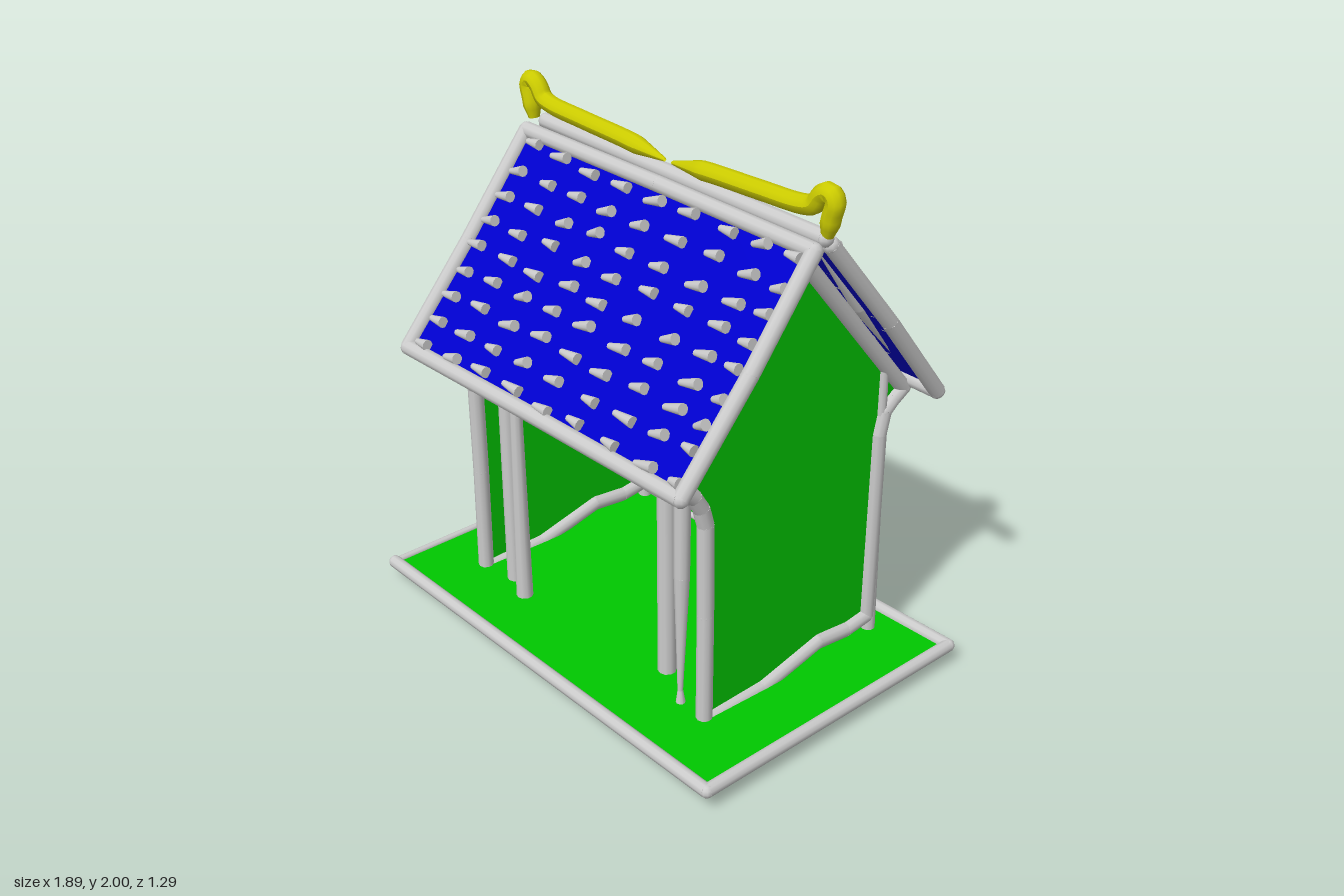
import * as THREE from 'three';
import { mergeGeometries } from 'three/addons/utils/BufferGeometryUtils.js';

const mat = (color) => new THREE.MeshStandardMaterial({ color, side: THREE.DoubleSide });
const GREY = mat(0xcccccc), GREEN = mat(0x00c800), BLUE = mat(0x0000cc), YELLOW = mat(0xcccc00);
const V = (x, y, z) => new THREE.Vector3(x, y, z);
const UP = V(0, 1, 0);

let seed = 7;
const rand = () => (seed = (seed * 16807) % 2147483647) / 2147483647 - 0.5;

function add(parent, name, geometry, material) {
  const mesh = new THREE.Mesh(geometry, material);
  mesh.name = name;
  parent.add(mesh);
  return mesh;
}

// Cylinder running from a to b, optionally tapered
function stick(a, b, ra, rb = ra) {
  const d = b.clone().sub(a);
  const g = new THREE.CylinderGeometry(rb, ra, d.length(), 10);
  g.applyQuaternion(new THREE.Quaternion().setFromUnitVectors(UP, d.normalize()));
  const m = a.clone().add(b).multiplyScalar(0.5);
  return g.translate(m.x, m.y, m.z);
}

// Round strand along corner points with ball joints
function strand(points, r, closed = false) {
  const parts = points.map((p) => new THREE.SphereGeometry(r, 10, 6).translate(p.x, p.y, p.z));
  const n = closed ? points.length : points.length - 1;
  for (let i = 0; i < n; i++) parts.push(stick(points[i], points[(i + 1) % points.length], r));
  return mergeGeometries(parts);
}

// Rod that is thickest in the middle and pointed at both ends
function spindle(a, b, r) {
  const m = a.clone().lerp(b, 0.5);
  return mergeGeometries([stick(a, m, r * 0.2, r), stick(m, b, r, r * 0.2)]);
}

// Flat four-cornered sheet
function quad(a, b, c, d) {
  const g = new THREE.BufferGeometry().setFromPoints([a, b, c, d]);
  g.setIndex([0, 1, 2, 0, 2, 3]);
  g.computeVertexNormals();
  return g;
}

// Roof slope: corners run ridge left, ridge right, eave right, eave left
function roofSlope(name, corners) {
  const group = new THREE.Group();
  group.name = name;
  const [a, b, c, d] = corners;
  add(group, name + 'Sheet', quad(...corners), BLUE);
  // slightly bowed frame
  const frame = [];
  corners.forEach((p, i) => {
    const q = corners[(i + 1) % 4];
    frame.push(p, p.clone().lerp(q, 0.5).add(V(i % 2 ? 0.012 : 0, 0.004, 0)));
  });
  add(group, name + 'Frame', strand(frame, 0.03, true), GREY);
  // rows of small tapered chips on the outer face
  const normal = d.clone().sub(a).cross(b.clone().sub(a)).normalize();
  if (normal.y < 0) normal.negate();
  const chips = [];
  for (const x of [-0.65, -0.48, -0.31, -0.14, 0.03, 0.21, 0.39, 0.56, 0.70]) {
    for (let row = 0; row < 9; row++) {
      const u = (x + 0.73) / 1.48;
      const v = 0.055 + row * 0.112 + rand() * 0.025;
      const p = a.clone().lerp(b, u).lerp(d.clone().lerp(c, u), v).addScaledVector(normal, 0.016);
      p.x += rand() * 0.02;
      const h = (x > 0.65 ? 0.027 : 0.038) + rand() * 0.014;
      const tilt = 0.006 + rand() * 0.014;
      chips.push(stick(p.clone().add(V(-h, -tilt, 0)), p.clone().add(V(h, tilt, 0)), 0.011, 0.021));
    }
  }
  add(group, name + 'Chips', mergeGeometries(chips), GREY);
  return group;
}

export function createModel() {
  const model = new THREE.Group();
  model.name = 'house';

  // Floor, its right-hand edge strand thinner than the rest
  const floor = [V(-0.925, 0.07, -0.55), V(0.9, 0.07, -0.61), V(0.915, 0.07, 0.61), V(-0.92, 0.07, 0.62)];
  add(model, 'floor', quad(...floor), GREEN);
  add(model, 'floorFrame', strand(floor, 0.025), GREY);
  add(model, 'floorEdge', strand([floor[3], floor[0]], 0.014), GREY);

  // Gable walls, outline as [z, y]
  const outline = [
    [0.355, 0.05], [0.355, 0.5], [0.36, 0.86], [0.38, 0.93], [0.414, 0.985], [0.465, 1.03], [0.53, 1.075],
    [-0.04, 1.70], [-0.58, 1.05], [-0.53, 1.02], [-0.488, 0.985], [-0.468, 0.9], [-0.46, 0.13],
    [-0.35, 0.115], [-0.2, 0.13], [-0.08, 0.1], [0.08, 0.06],
  ];
  const gable = new THREE.Shape(outline.map(([z, y]) => new THREE.Vector2(z, y)));
  for (const [side, x] of [['left', 0.62], ['right', -0.67]]) {
    add(model, side + 'GableWall', new THREE.ShapeGeometry(gable).rotateY(-Math.PI / 2), GREEN).position.x = x;
    add(model, side + 'GableFrame', strand(outline.map(([z, y]) => V(x, y, z)), 0.03, true), GREY);
    add(model, side + 'BackPost', stick(V(x, 0.03, -0.475), V(x, 1.15, -0.475), 0.028, 0.018), GREY);
  }

  // Back wall panels either side of the opening, with a lintel strip
  const zb = -0.47;
  for (const [side, inner, outer, y] of [['left', 0.335, 0.62, 0.035], ['right', -0.305, -0.67, 0.105]]) {
    add(model, side + 'BackPanel',
      quad(V(inner, y, zb), V(outer, y, zb), V(outer, 1.1, zb), V(inner, 1.1, zb)), GREEN);
    add(model, side + 'BackPanelFrame',
      strand([V(inner, 1.06, zb), V(inner, y, zb), V(outer, y, zb)], 0.014), GREY);
  }
  add(model, 'lintelPanel', quad(V(-0.305, 1.06, zb), V(0.335, 1.06, zb), V(0.335, 1.11, zb), V(-0.305, 1.11, zb)), GREEN);
  add(model, 'lintel', strand([V(-0.305, 1.05, zb), V(0.335, 1.06, zb)], 0.014), GREY);

  // Front pillars
  const zp = 0.36;
  add(model, 'pillar', stick(V(-0.465, 0.11, zp), V(-0.475, 1.15, zp), 0.032), GREY);
  add(model, 'pillar', stick(V(-0.395, 0.015, zp + 0.01), V(-0.405, 1.15, zp + 0.01), 0.033, 0.02), GREY);
  add(model, 'pillar', stick(V(0.43, 0.17, zp), V(0.425, 1.15, zp), 0.034), GREY);
  add(model, 'pillar', mergeGeometries([
    stick(V(0.5, 0.12, zp), V(0.505, 0.6, zp), 0.01, 0.028),
    stick(V(0.505, 0.6, zp), V(0.505, 1.15, zp), 0.028, 0.032),
    stick(V(0.505, 0.0, zp), V(0.5, 0.12, zp), 0.028, 0.01),
  ]), GREY);

  // Roof slopes
  model.add(roofSlope('frontRoof', [
    V(-0.73, 1.79, 0.03), V(0.735, 1.775, 0.02), V(0.755, 1.11, 0.59), V(-0.735, 1.085, 0.6)]));
  model.add(roofSlope('backRoof', [
    V(-0.73, 1.79, -0.06), V(0.735, 1.775, -0.055), V(0.755, 1.08, -0.605), V(-0.73, 1.065, -0.62)]));
  add(model, 'ridgeBeam', strand([V(-0.69, 1.82, -0.03), V(0.74, 1.81, -0.02)], 0.03), GREY);
  add(model, 'backRoofRib', spindle(V(-0.67, 1.75, -0.1), V(-0.67, 1.13, -0.585), 0.028), GREY);
  add(model, 'backRoofRib', spindle(V(0.62, 1.76, -0.08), V(0.62, 1.13, -0.585), 0.032), GREY);

  // Ridge ornament: hooked strands that taper toward the middle
  for (const s of [1, -1]) {
    const path = [
      [0.75, 1.82], [0.765, 1.89], [0.778, 1.945], [0.755, 1.967], [0.72, 1.95],
      [0.69, 1.91], [0.64, 1.895], [0.45, 1.885], [0.2, 1.875], [0.02, 1.858],
    ].map(([x, y]) => V(s * x, y, -0.02));
    const curve = new THREE.CatmullRomCurve3(path);
    const segments = 60, radial = 10;
    const g = new THREE.TubeGeometry(curve, segments, 0.034, radial);
    const pos = g.attributes.position, p = V(0, 0, 0);
    for (let i = 0; i <= segments; i++) {
      const t = i / segments, c = curve.getPointAt(t);
      const k = Math.min(1, 0.2 + (1 - t) * 5, 0.6 + t * 8);
      for (let j = 0; j <= radial; j++) {
        const n = i * (radial + 1) + j;
        p.fromBufferAttribute(pos, n).sub(c).multiplyScalar(k).add(c);
        pos.setXYZ(n, p.x, p.y, p.z);
      }
    }
    g.computeVertexNormals();
    add(model, s > 0 ? 'leftRidgeOrnament' : 'rightRidgeOrnament', g, YELLOW);
  }
  return model;
}
